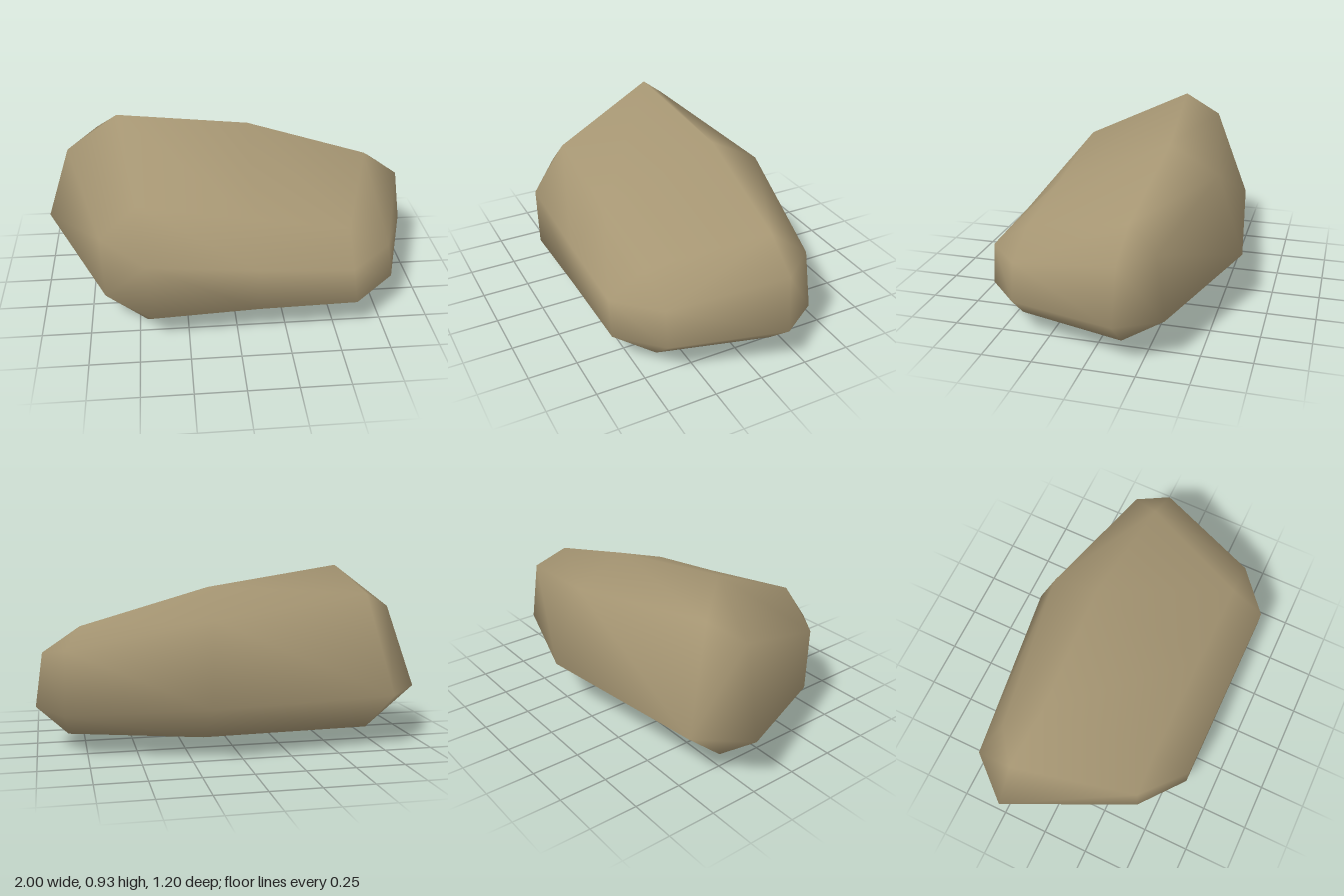
import * as THREE from 'three';

// Cross-sections along x; each runs from the top front edge down the front,
// back under the base and up the rear (eight bevelled-box points).
const rings = [
  [[-0.49, 0.68, 0.41], [-0.45, 0.45, 0.6], [-0.43, 0.145, 0.6], [-0.46, 0, 0.41],
    [-0.74, 0.06, -0.24], [-0.8, 0.28, -0.48], [-0.7, 0.79, -0.31], [-0.58, 0.93, -0.14]],
  [[0.1, 0.575, 0.41], [0.1, 0.4, 0.6], [0.1, 0.17, 0.6], [0.14, 0.075, 0.41],
    [0.17, 0.08, -0.35], [0.17, 0.28, -0.6], [0.14, 0.69, -0.46], [0.12, 0.83, -0.2]],
  [[0.58, 0.5, 0.41], [0.57, 0.375, 0.6], [0.6, 0.18, 0.6], [0.69, 0.078, 0.41],
    [0.84, 0.08, -0.14], [0.86, 0.22, -0.35], [0.85, 0.54, -0.31], [0.77, 0.64, -0.16]],
];

// End faces: top front, bottom front, bottom back, top back
const leftEnd = [[-0.68, 0.505, 0.41], [-0.67, 0.165, 0.41], [-1, 0.28, -0.25], [-0.86, 0.71, -0.2]];
const rightEnd = [[0.79, 0.39, 0.41], [0.82, 0.2, 0.41], [1, 0.23, -0.14], [0.96, 0.51, -0.15]];

function rockGeometry() {
  const points = [...rings.flat(), ...leftEnd, ...rightEnd];
  const index = [];
  const tri = (a, b, c, flip) => index.push(...(flip ? [a, c, b] : [a, b, c]));
  const quad = (a, b, c, d, flip) => { tri(a, b, c, flip); tri(a, c, d, flip); };

  // Body between neighbouring cross-sections
  for (let r = 0; r < 2; r++) {
    for (let i = 0; i < 8; i++) {
      const j = (i + 1) % 8;
      quad(r * 8 + i, r * 8 + j, r * 8 + 8 + j, r * 8 + 8 + i);
    }
  }

  // Bevelled ends: four corner triangles, four edge strips and one face
  for (const [ring, cap, flip] of [[0, 24, true], [16, 28, false]]) {
    for (let k = 0; k < 4; k++) {
      const next = (k + 1) % 4;
      tri(ring + 2 * k, ring + 2 * k + 1, cap + k, flip);
      quad(ring + 2 * k + 1, ring + 2 * next, cap + next, cap + k, flip);
    }
    quad(cap, cap + 1, cap + 2, cap + 3, flip);
  }

  const geometry = new THREE.BufferGeometry();
  geometry.setAttribute('position', new THREE.Float32BufferAttribute(points.flat(), 3));
  geometry.setIndex(index);
  geometry.computeVertexNormals();
  return geometry;
}

export function createModel() {
  const stone = new THREE.MeshStandardMaterial({ color: 0xa69673 });
  stone.name = 'stone';
  const rock = new THREE.Mesh(rockGeometry(), stone);
  rock.name = 'rock';
  const model = new THREE.Group();
  model.name = 'boulder';
  model.add(rock);
  return model;
}
